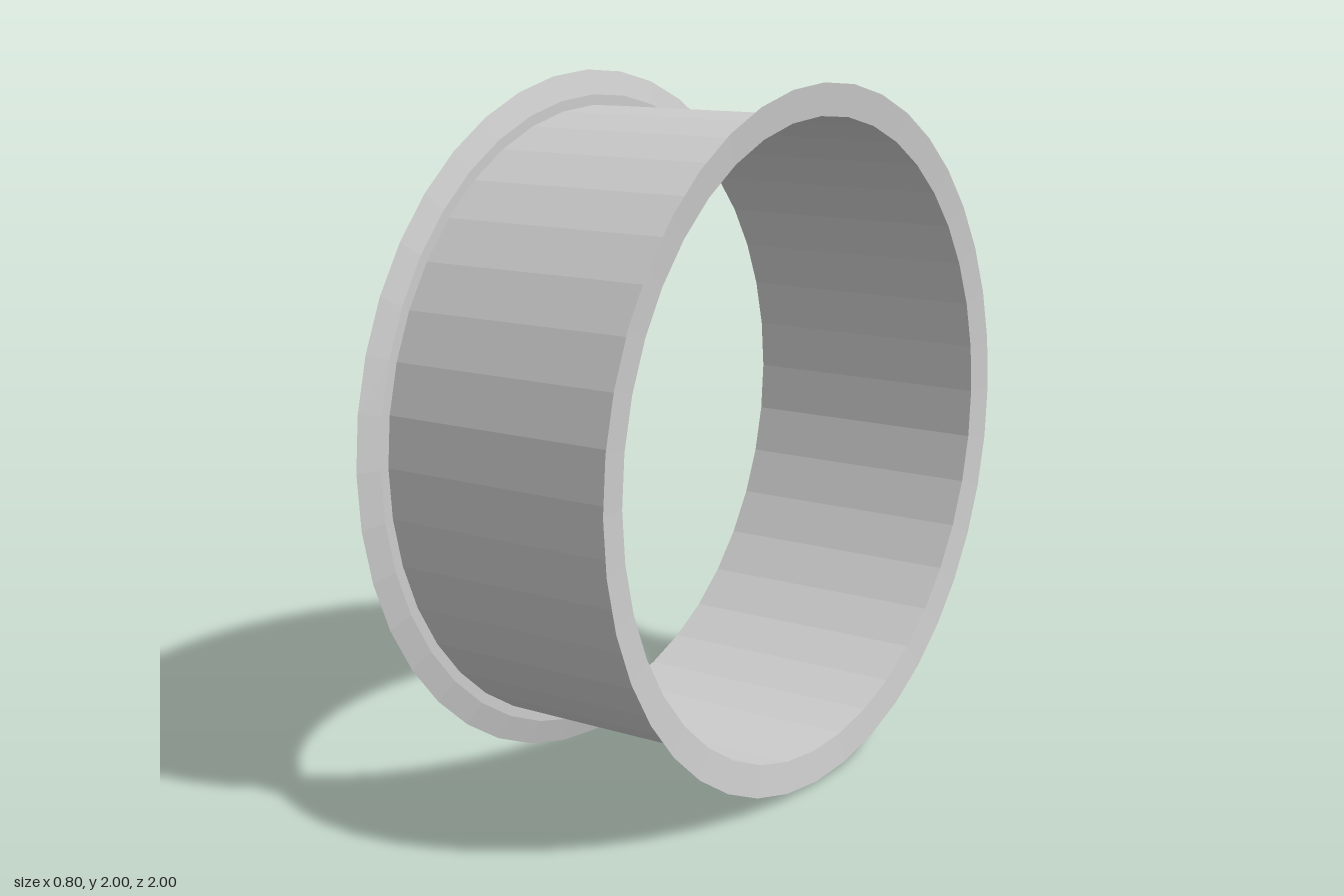
import * as THREE from 'three';

const SIDES = 40;
const material = new THREE.MeshStandardMaterial({
  color: 0xcccccc, flatShading: true, side: THREE.DoubleSide,
});

// Sheet-metal ring turned about the x axis from [x, radius] points
function ring(name, profile) {
  const points = profile.map(([x, r]) => new THREE.Vector2(r, x));
  const geometry = new THREE.LatheGeometry(points, SIDES);
  geometry.rotateZ(-Math.PI / 2);
  const mesh = new THREE.Mesh(geometry, material);
  mesh.name = name;
  mesh.position.y = 1;
  return mesh;
}

export function createModel() {
  const group = new THREE.Group();
  group.name = 'flangedRing';

  // Open barrel between the two flanges
  group.add(ring('barrel', [[-0.38, 0.9], [0.39, 0.9]]));

  // Right flange: flat step, then a flared lip
  group.add(ring('rightFlange', [[-0.4, 1], [-0.38, 0.93], [-0.38, 0.9]]));

  // Left flange: one shallow flare
  group.add(ring('leftFlange', [[0.39, 0.9], [0.4, 0.99]]));

  return group;
}
